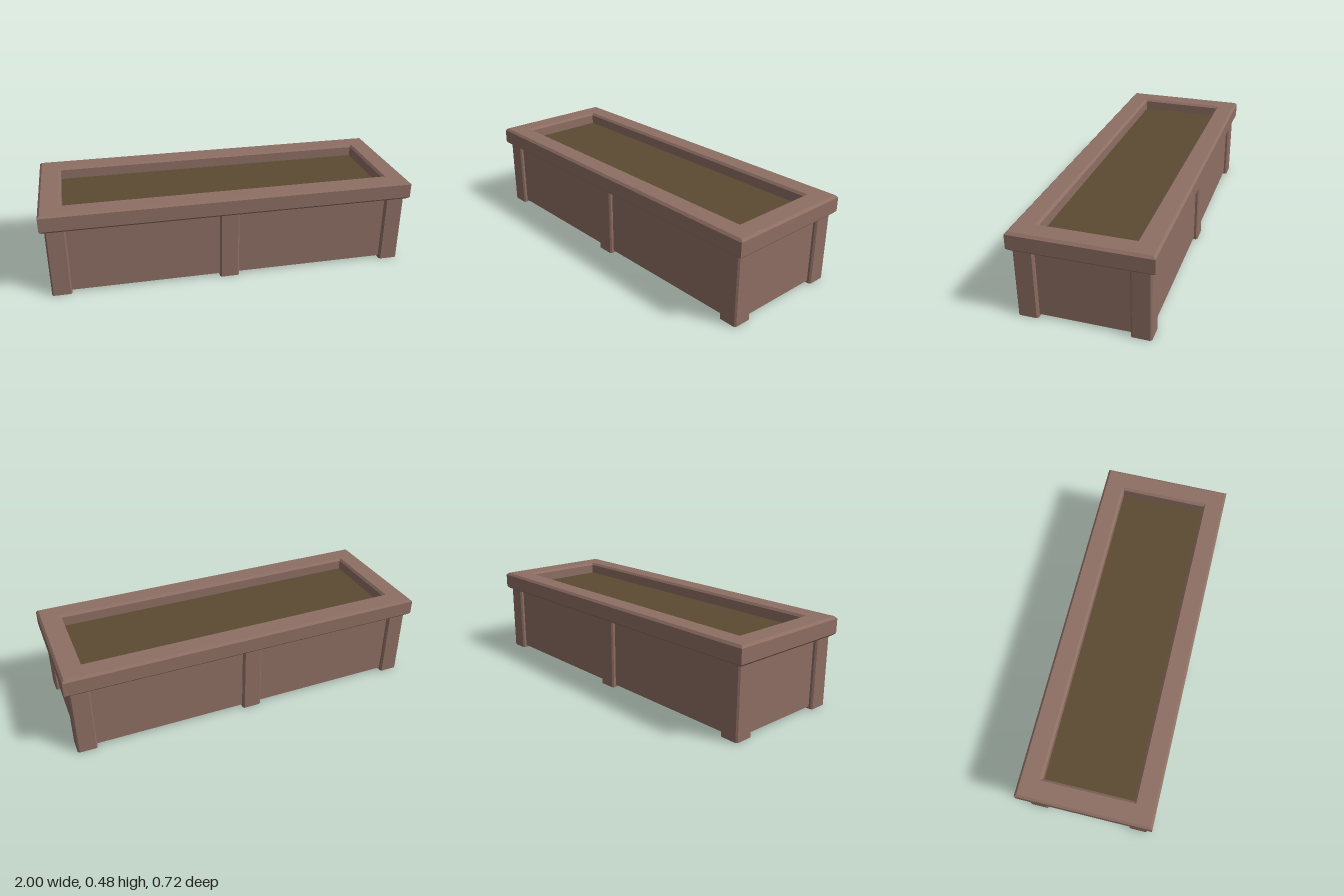
import * as THREE from 'three';

const wood = new THREE.MeshStandardMaterial({ color: 0x8d6e63, side: THREE.DoubleSide });
wood.name = 'brown wood';
const earth = new THREE.MeshStandardMaterial({ color: 0x5c4a32, side: THREE.DoubleSide });
earth.name = 'dark soil';

const flat = (geometry) => {
  const g = geometry.index ? geometry.toNonIndexed() : geometry;
  g.computeVertexNormals();
  return g;
};

// Mitred frame: one chamfered section carried round the four corners
function rimGeometry(halfX, halfZ, width, y0, y1, b) {
  const section = [
    [0, y0 + b], [0, y1 - b], [b, y1], [width - b, y1],
    [width, y1 - b], [width, y0 + b], [width - b, y0], [b, y0],
  ];
  const corners = [[1, 1], [1, -1], [-1, -1], [-1, 1]];
  const n = section.length;
  const positions = [];
  const index = [];
  corners.forEach(([sx, sz], i) => {
    section.forEach(([o, y], j) => {
      positions.push(sx * (halfX - o), y, sz * (halfZ - o));
      const next = ((i + 1) % 4) * n;
      const k = (j + 1) % n;
      const a = i * n + j, c = next + j, d = next + k, e = i * n + k;
      index.push(a, c, d, a, d, e);
    });
  });
  const g = new THREE.BufferGeometry();
  g.setAttribute('position', new THREE.Float32BufferAttribute(positions, 3));
  g.setIndex(index);
  return flat(g);
}

// Hollow square post with chamfered vertical edges, open at both ends
function postGeometry(half, chamfer, height) {
  const g = new THREE.CylinderGeometry(1, 1, height, 8, 1, true, Math.PI / 8);
  const p = g.attributes.position;
  const snap = (v) => Math.sign(v) * (Math.abs(v) > 0.6 ? half : half - chamfer);
  for (let i = 0; i < p.count; i++) {
    p.setXYZ(i, snap(p.getX(i)), p.getY(i) + height / 2, snap(p.getZ(i)));
  }
  return flat(g);
}

export function createModel() {
  const model = new THREE.Group();
  model.name = 'planter';
  const add = (name, geometry, material, x = 0, y = 0, z = 0, turn = 0) => {
    const mesh = new THREE.Mesh(geometry, material);
    mesh.name = name;
    mesh.position.set(x, y, z);
    mesh.rotation.y = turn;
    model.add(mesh);
  };

  add('rim', rimGeometry(1, 0.36, 0.12, 0.38, 0.48, 0.012), wood);

  // Soil bed sunk inside the rim
  add('soil', new THREE.PlaneGeometry(1.76, 0.48).rotateX(-Math.PI / 2), earth, 0, 0.415);

  // Corner and middle posts
  const post = postGeometry(0.0525, 0.008, 0.38);
  for (const z of [0.2875, -0.2875]) {
    for (const x of [-0.9225, -0.014, 0.9225]) {
      add(Math.abs(x) < 0.1 ? 'middlePost' : 'cornerPost', post, wood, x, 0, z);
    }
  }

  // Thin side boards, slightly behind the post faces and clear of the ground
  const bottom = 0.013;
  const height = 0.38 - bottom;
  const y = bottom + height / 2;
  const longBoard = new THREE.PlaneGeometry(1.91, height);
  const endBoard = new THREE.PlaneGeometry(0.64, height);
  add('frontBoard', longBoard, wood, 0, y, 0.32);
  add('backBoard', longBoard, wood, 0, y, -0.32, Math.PI);
  add('leftBoard', endBoard, wood, 0.955, y, 0, Math.PI / 2);
  add('rightBoard', endBoard, wood, -0.955, y, 0, -Math.PI / 2);

  return model;
}
